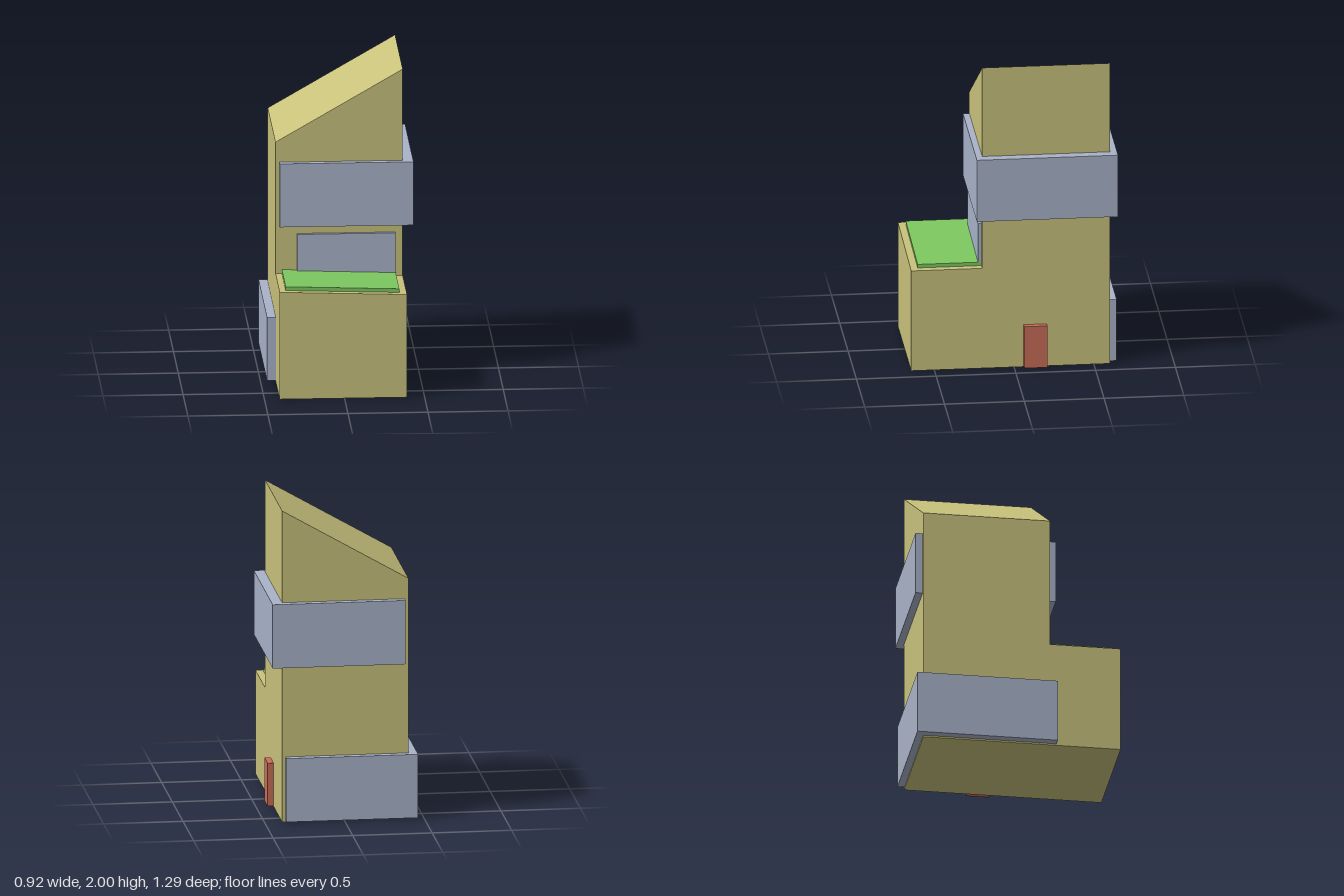
import * as THREE from 'three';

const paint = (color) => new THREE.MeshStandardMaterial({ color, flatShading: true });
const wallMat = paint(0xc9c27c);
const bandMat = paint(0xa9b3c9);
const grassMat = paint(0x7dc960);
const doorMat = paint(0xc96d58);

const outline = (points) => new THREE.Shape(points.map(([x, y]) => new THREE.Vector2(x, y)));
const extrude = (points, depth) =>
  new THREE.ExtrudeGeometry(outline(points), { depth, bevelEnabled: false });

export function createModel() {
  const group = new THREE.Group();

  const add = (name, geometry, material) => {
    const mesh = new THREE.Mesh(geometry, material);
    mesh.name = name;
    group.add(mesh);
    return mesh;
  };
  // Front-facing profile (x, y) pushed from z0 to z1
  const prism = (name, points, z0, z1, material) =>
    add(name, extrude(points, z1 - z0).translate(0, 0, z0), material);
  // Floor plan (x, z) raised from y0 to y1
  const plan = (name, points, y0, y1, material) =>
    add(name, extrude(points.map(([x, z]) => [x, -z]), y1 - y0).rotateX(-Math.PI / 2).translate(0, y0, 0), material);
  const box = (name, [x0, x1], [y0, y1], [z0, z1], material) =>
    add(name, new THREE.BoxGeometry(x1 - x0, y1 - y0, z1 - z0)
      .translate((x0 + x1) / 2, (y0 + y1) / 2, (z0 + z1) / 2), material);

  // Tower with a single-pitch roof, and the low wing in front of it
  prism('tower', [[-0.405, 0], [0.39, 0], [0.39, 2], [-0.405, 1.54]], -0.6, 0.2, wallMat);
  prism('frontWing', [[-0.405, 0], [0.39, 0], [0.39, 0.665], [-0.405, 0.692]], 0.2, 0.645, wallMat);

  // Planted terrace following the slope of the wing roof
  prism('roofGarden', [[-0.365, 0.69], [0.345, 0.666], [0.345, 0.69], [-0.365, 0.715]], 0.2, 0.6, grassMat);
  box('terraceWindow', [-0.27, 0.345], [0.666, 0.947], [0.2, 0.222], bandMat);

  // Upper window band wraps the front, right and back walls
  plan('upperWindowBand', [
    [-0.38, 0.24], [0.455, 0.24], [0.455, -0.645], [-0.38, -0.645],
    [-0.38, -0.6], [0.39, -0.6], [0.39, 0.2], [-0.38, 0.2],
  ], 1.0, 1.41, bandMat);

  // Lower window band wraps the back and left walls
  plan('lowerWindowBand', [
    [-0.46, 0.24], [-0.405, 0.24], [-0.405, -0.6], [0.37, -0.6],
    [0.37, -0.645], [-0.46, -0.645],
  ], 0.01, 0.418, bandMat);

  box('door', [0.39, 0.428], [0.004, 0.28], [-0.205, -0.06], doorMat);
  return group;
}
